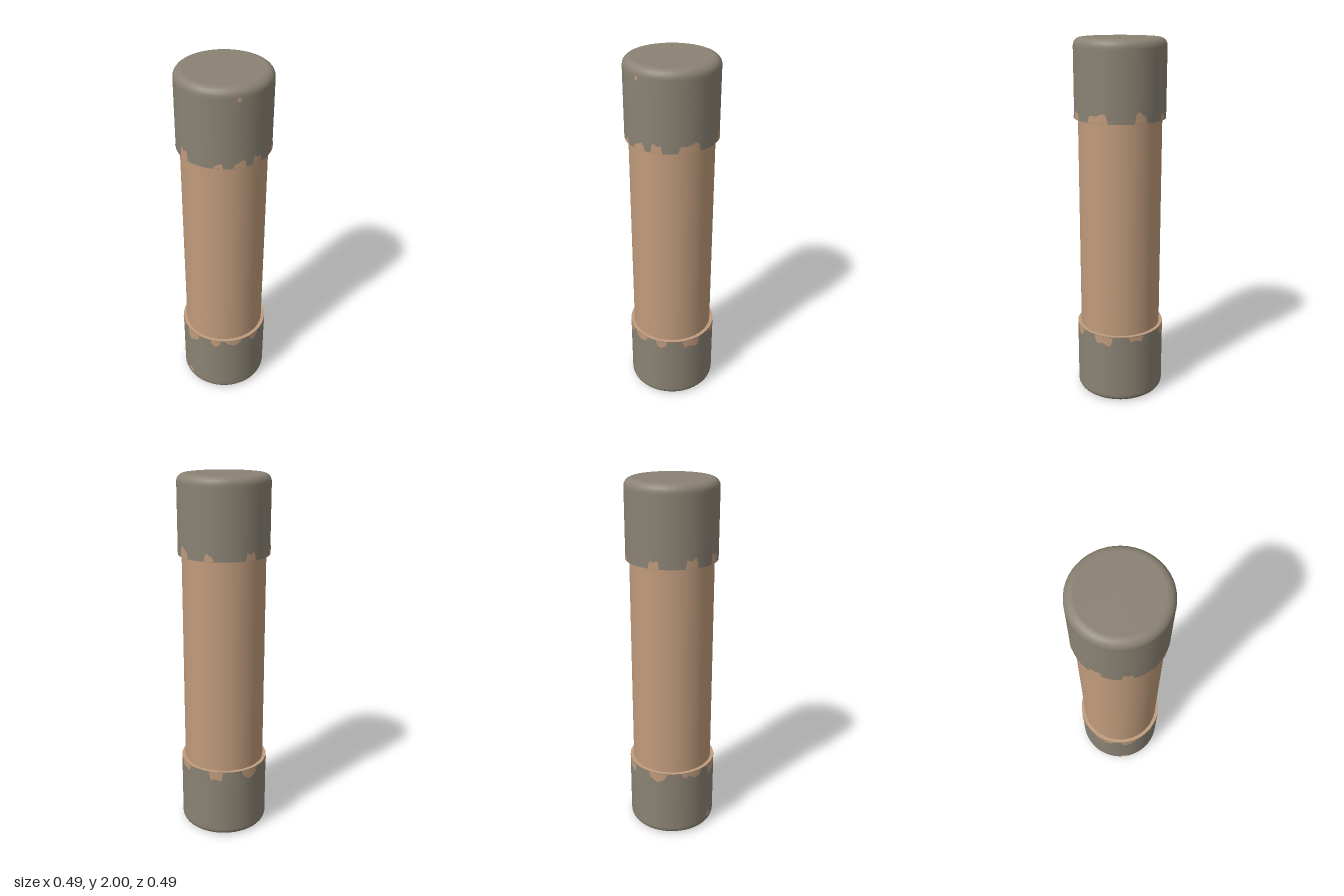
import * as THREE from 'three';

const CAP_R = 0.245, BODY_R = 0.225, SEG = 48;

// Rounded cup wall: straight skirt, then a quarter-round shoulder to the end
function capWall(height, bevel) {
  const pts = [new THREE.Vector2(CAP_R, 0), new THREE.Vector2(CAP_R, height - bevel - 0.01)];
  for (let i = 0; i <= 6; i++) {
    const a = (i / 6) * Math.PI / 2;
    pts.push(new THREE.Vector2(CAP_R - bevel + bevel * Math.cos(a), height - bevel + bevel * Math.sin(a)));
  }
  return new THREE.LatheGeometry(pts, SEG);
}

// Thin worn patch wrapped on the cap; lo and hi give its edges for u in -1..1
function patch(angleDeg, width, lo, hi) {
  const n = 10, r = CAP_R + 0.002, pos = [], nor = [], idx = [];
  for (let i = 0; i <= n; i++) {
    const u = (i / n) * 2 - 1;
    const a = THREE.MathUtils.degToRad(angleDeg) + u * width / 2 / CAP_R;
    for (const y of [lo(u), hi(u)]) {
      pos.push(r * Math.sin(a), y, r * Math.cos(a));
      nor.push(Math.sin(a), 0, Math.cos(a));
    }
    if (i < n) {
      const k = i * 2;
      idx.push(k, k + 2, k + 1, k + 1, k + 2, k + 3);
    }
  }
  const g = new THREE.BufferGeometry();
  g.setAttribute('position', new THREE.Float32BufferAttribute(pos, 3));
  g.setAttribute('normal', new THREE.Float32BufferAttribute(nor, 3));
  g.setIndex(idx);
  return g;
}

export function createModel() {
  const group = new THREE.Group();
  const tan = new THREE.MeshStandardMaterial({ name: 'tan paper', color: 0xc09b7c });
  const grey = new THREE.MeshStandardMaterial({ name: 'dull grey metal', color: 0x8a8273 });

  const add = (name, geo, mat, y = 0, rx = 0) => {
    const m = new THREE.Mesh(geo, mat);
    m.name = name;
    m.position.y = y;
    m.rotation.x = rx;
    group.add(m);
    return m;
  };

  // Tube between the caps
  add('body', new THREE.CylinderGeometry(BODY_R, BODY_R, 1.3, SEG, 1, true), tan, 1);

  // End caps, their rims and end discs
  add('topCap', capWall(0.415, 0.042), grey, 1.585);
  add('topDisc', new THREE.CircleGeometry(CAP_R - 0.042, SEG), grey, 2, -Math.PI / 2);
  add('topCapRim', new THREE.RingGeometry(BODY_R - 0.005, CAP_R, SEG), grey, 1.585, Math.PI / 2);
  add('bottomCap', capWall(0.405, 0.033), grey, 0.405, Math.PI);
  add('bottomDisc', new THREE.CircleGeometry(CAP_R - 0.033, SEG), tan, 0, Math.PI / 2);
  add('bottomCapRim', new THREE.RingGeometry(BODY_R - 0.005, CAP_R, SEG), tan, 0.405, -Math.PI / 2);

  // Worn patches along each cap edge: [angle, width, depth]
  const topWear = [[-64, 0.07, 0.06], [-27, 0.06, 0.07], [19, 0.05, 0.03], [44, 0.07, 0.04], [67, 0.06, 0.055],
    [106, 0.12, 0.055], [160, 0.07, 0.06], [198, 0.05, 0.04], [250, 0.06, 0.05]];
  const bottomWear = [[-55, 0.09, 0.04], [-22, 0.1, 0.07], [14, 0.06, 0.045], [39, 0.1, 0.035], [71, 0.07, 0.045],
    [112, 0.11, 0.065], [156, 0.09, 0.04], [206, 0.08, 0.065], [253, 0.11, 0.055], [290, 0.05, 0.03]];
  const bulge = (u, s) => Math.sqrt(Math.max(0, 1 - u ** 4)) * (0.82 + 0.18 * Math.sin(3 * u + s));
  for (const [a, w, d] of topWear) {
    add('topWear', patch(a, w, () => 1.587, u => 1.587 + d * bulge(u, a)), tan);
  }
  for (const [a, w, d] of bottomWear) {
    add('bottomWear', patch(a, w, u => 0.404 - d * bulge(u, a), () => 0.404), tan);
  }

  // Small isolated chips
  for (const [a, y, w, h] of [[-29, 0.062, 0.045, 0.016], [42, 1.945, 0.02, 0.012]]) {
    const half = u => h * Math.sqrt(Math.max(0, 1 - u * u));
    add('chip', patch(a, w, u => y - half(u), u => y + half(u)), tan);
  }
  return group;
}
